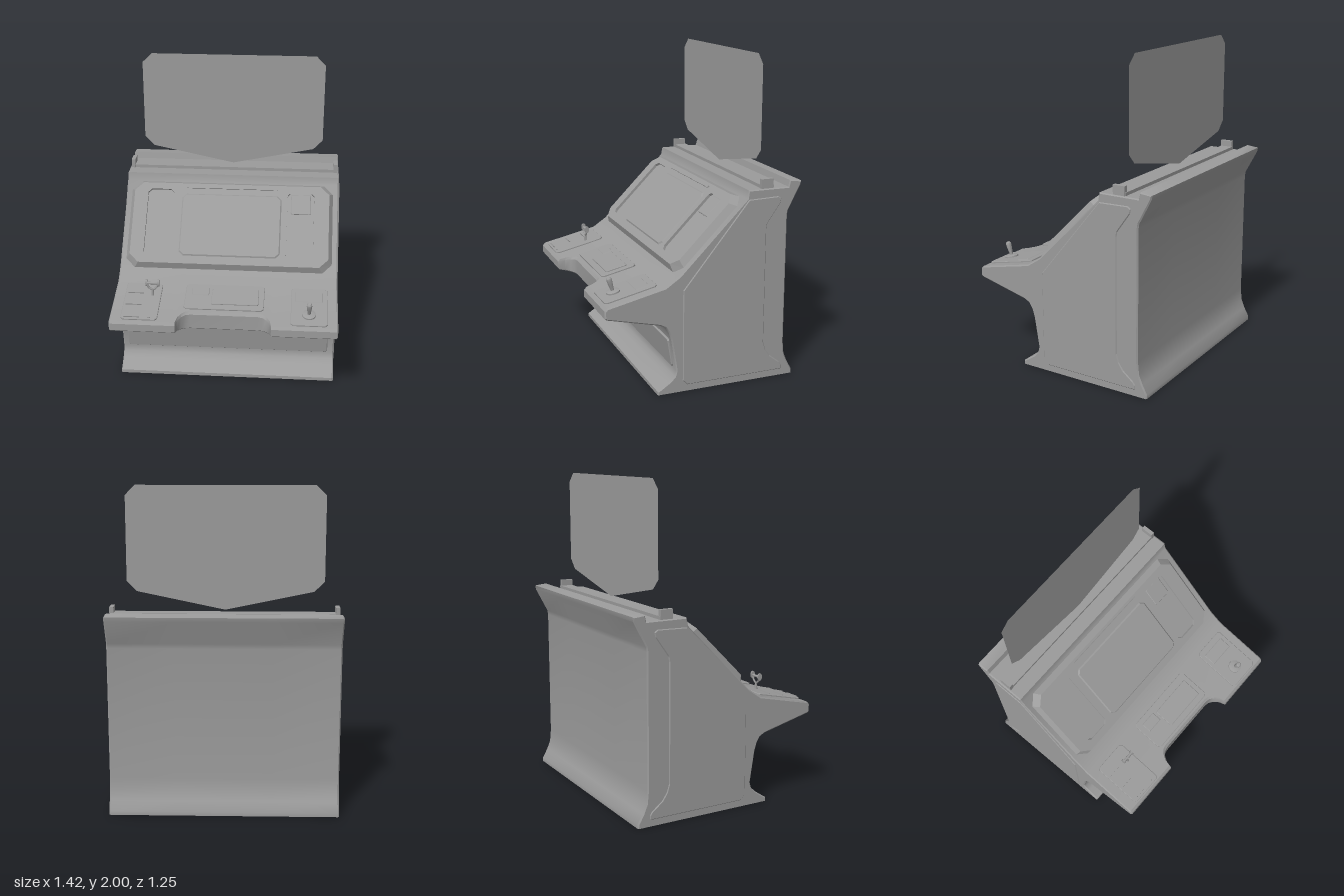
import * as THREE from 'three';
import { toCreasedNormals } from 'three/addons/utils/BufferGeometryUtils.js';

const material = new THREE.MeshStandardMaterial({ color: 0x9b9b9b, side: THREE.DoubleSide });

function add(parent, name, geometry, x = 0, y = 0, z = 0) {
  const mesh = new THREE.Mesh(geometry, material);
  mesh.name = name;
  mesh.position.set(x, y, z);
  parent.add(mesh);
  return mesh;
}

function box(parent, name, x0, x1, y0, y1, z0, z1) {
  return add(parent, name, new THREE.BoxGeometry(x1 - x0, y1 - y0, z1 - z0),
    (x0 + x1) / 2, (y0 + y1) / 2, (z0 + z1) / 2);
}

const polygon = (points) => new THREE.Shape(points.map(([a, b]) => new THREE.Vector2(a, b)));

// Rectangle with cut corners
const cutRect = (x0, x1, y0, y1, c) => polygon([
  [x0 + c, y0], [x1 - c, y0], [x1, y0 + c], [x1, y1 - c],
  [x1 - c, y1], [x0 + c, y1], [x0, y1 - c], [x0, y0 + c]]);

// Plate standing out of z = 0, with a bevelled front rim
function plate(shape, height, bevel) {
  const g = new THREE.ExtrudeGeometry(shape, {
    depth: height, bevelSize: bevel, bevelThickness: bevel, bevelOffset: -bevel, bevelSegments: 1 });
  return g.translate(0, 0, -bevel);
}

// Cabinet section as [z, y], from the front foot over the top to the back foot
function section(tip) {
  const under = (z) => 0.443 + (z - 0.285) * 0.243;
  const top = (z) => 0.675 - (z - 0.25) * 0.222;
  return [
    [0.30, 0], [0.30, 0.022], [0.22, 0.075], [0.19, 0.105], [0.18, 0.14],
    [0.212, 0.34], [0.228, 0.39], [0.25, 0.425], [0.285, 0.443],
    [tip - 0.01, under(tip - 0.01)], [tip, under(tip) + 0.006],
    [tip, top(tip) - 0.014], [tip - 0.015, top(tip - 0.015)],
    [0.25, 0.675], [0.16, 0.735], [-0.27, 1.165], [-0.28, 1.215],
    [-0.543, 1.215], [-0.553, 1.255], [-0.63, 1.247], [-0.625, 1.22],
    [-0.546, 1.07], [-0.541, 1.04], [-0.541, 0.22], [-0.549, 0.14],
    [-0.572, 0.085], [-0.605, 0.025], [-0.605, 0]];
}

// Section pulled inward by d, for the bevelled outer edges
function inset(points, d) {
  const n = points.length;
  return points.map(([z, y], i) => {
    const p = new THREE.Vector2(z, y);
    const a = p.clone().sub(new THREE.Vector2(...points[(i + n - 1) % n])).normalize();
    const b = new THREE.Vector2(...points[(i + 1) % n]).sub(p).normalize();
    const normal = new THREE.Vector2(-a.y - b.y, a.x + b.x).normalize();
    p.addScaledVector(normal, d);
    return [p.x, y === 0 ? 0 : p.y];
  });
}

function cabinet() {
  // Half of the stations across the width: [x, front edge of the console]
  const half = [[0.21, 0.52], [0.24, 0.527], [0.265, 0.547], [0.287, 0.582], [0.296, 0.625], [0.698, 0.625]];
  const rows = half.map(([x, tip]) => [x, section(tip)]);
  rows.push([0.706, inset(section(0.625), 0.008)]);
  const all = [...rows.map(([x, s]) => [-x, s]).reverse(), ...rows];
  const pos = [];
  for (let i = 0; i < all.length - 1; i++) {
    const [xa, sa] = all[i], [xb, sb] = all[i + 1];
    for (let j = 0; j < sa.length - 1; j++) {
      const v = ([z, y], x) => [x, y, z];
      const a = v(sa[j], xa), b = v(sb[j], xb), c = v(sb[j + 1], xb), d = v(sa[j + 1], xa);
      pos.push(...a, ...b, ...c, ...a, ...c, ...d);
    }
  }
  const g = new THREE.BufferGeometry();
  g.setAttribute('position', new THREE.Float32BufferAttribute(pos, 3));
  return toCreasedNormals(g, 0.6);
}

// Instrument slab: straight recesses, outer rim sloping inward
function slabGeometry() {
  const shape = cutRect(-0.67, 0.668, -0.303, 0.302, 0.06);
  shape.holes.push(cutRect(-0.555, -0.38, -0.232, 0.235, 0.025), cutRect(0.37, 0.545, -0.232, 0.235, 0.025));
  const g = new THREE.ExtrudeGeometry(shape, { depth: 0.043, bevelEnabled: false });
  const p = g.attributes.position;
  for (let i = 0; i < p.count; i++) {
    const x = p.getX(i), y = p.getY(i);
    const outer = Math.abs(x) > 0.57 || Math.abs(y) > 0.24;
    if (outer && p.getZ(i) > 0.02) p.setXY(i, x * 0.963, y * 0.92);
  }
  g.computeVertexNormals();
  return g;
}

export function createModel() {
  const model = new THREE.Group();
  model.name = 'controlConsole';
  add(model, 'cabinet', cabinet());

  // End walls and their raised side panels
  const wall = inset(section(0.625), 0.008);
  const sidePanel = [
    [0.11, 0.04], [0.14, 0.07], [0.14, 0.645], [-0.28, 1.16], [-0.475, 1.165], [-0.497, 1.15],
    [-0.49, 1.12], [-0.405, 1.0], [-0.40, 0.97], [-0.40, 0.24], [-0.415, 0.19],
    [-0.445, 0.145], [-0.515, 0.09], [-0.528, 0.07], [-0.528, 0.04]];
  for (const s of [1, -1]) {
    const flat = (pts) => polygon(pts.map(([z, y]) => [-s * z, y]));
    add(model, 'endWall', new THREE.ShapeGeometry(flat(wall)), s * 0.706).rotation.y = s * Math.PI / 2;
    add(model, 'sidePanel', plate(flat(sidePanel), 0.006, 0.006), s * 0.705).rotation.y = s * Math.PI / 2;
  }

  // Rim around the open underside
  const rim = cutRect(-0.7, 0.7, -0.605, 0.30, 0.001);
  rim.holes.push(cutRect(-0.68, 0.68, -0.585, 0.28, 0.001));
  add(model, 'bottomRim', new THREE.ShapeGeometry(rim), 0, 0.001).rotation.x = Math.PI / 2;

  // Kick panel on the lower front
  const kick = add(model, 'kickPanel', plate(cutRect(-0.668, 0.663, -0.092, 0.092, 0.012), 0.014, 0.005), 0, 0.245, 0.194);
  kick.rotation.x = 0.16;

  // Projector strip, its end blocks and the floating display
  box(model, 'projectorStrip', -0.69, 0.69, 1.21, 1.235, -0.45, -0.37);
  for (const s of [1, -1]) box(model, 'projectorEnd', s * 0.6825 - 0.0125, s * 0.6825 + 0.0125, 1.21, 1.273, -0.446, -0.367);
  add(model, 'floatingDisplay', new THREE.ShapeGeometry(polygon([
    [-0.005, 1.253], [0.53, 1.365], [0.59, 1.428], [0.59, 1.94], [0.53, 2],
    [-0.54, 2], [-0.602, 1.94], [-0.602, 1.428], [-0.54, 1.365]])), 0, 0, -0.41);

  // Sloping instrument board: local y runs up the slope, local z stands out of it
  const board = new THREE.Group();
  board.name = 'instrumentBoard';
  board.position.set(0, 0.945, -0.05);
  board.rotation.x = -Math.PI / 4;
  model.add(board);
  add(board, 'boardSlab', slabGeometry());
  for (const x of [-0.4675, 0.4575]) box(board, 'recessFloor', x - 0.09, x + 0.09, -0.235, 0.238, 0.005, 0.026);
  add(board, 'mainScreen', plate(cutRect(-0.33, 0.335, -0.23, 0.208, 0.03), 0.051, 0.012));
  box(board, 'statusBar', -0.295, 0.305, 0.244, 0.26, 0.03, 0.05);
  add(board, 'smallScreen', plate(cutRect(0.393, 0.522, 0.085, 0.222, 0.004), 0.033, 0.004));

  // Desk controls: local y runs to the back, local z stands out of the desk
  const desk = new THREE.Group();
  desk.name = 'deskControls';
  desk.position.set(0, 0.635, 0.43);
  desk.rotation.x = -Math.PI / 2 + 0.218;
  model.add(desk);
  const v = (z) => (0.43 - z) / 0.977;
  const deskPlate = (name, x0, x1, zBack, zFront, c, h) =>
    add(desk, name, plate(cutRect(x0, x1, v(zFront), v(zBack), c), h, 0.003));
  deskPlate('throttlePlate', -0.637, -0.408, 0.275, 0.602, 0.016, 0.01);
  deskPlate('keyboardPlate', -0.255, 0.245, 0.267, 0.49, 0.016, 0.01);
  deskPlate('joystickPlate', 0.414, 0.643, 0.275, 0.602, 0.016, 0.01);
  deskPlate('keyboardScreen', -0.215, -0.105, 0.302, 0.37, 0.002, 0.013);
  deskPlate('keyboard', -0.087, 0.21, 0.315, 0.45, 0.006, 0.018);
  deskPlate('joystickScreen', 0.44, 0.614, 0.315, 0.4, 0.002, 0.013);
  for (const z of [0.37, 0.475, 0.585]) box(desk, 'throttleSlit', -0.62, -0.52, v(z) - 0.003, v(z) + 0.003, 0.005, 0.017);
  box(desk, 'throttleMark', -0.468, -0.452, v(0.585) - 0.003, v(0.585) + 0.003, 0.005, 0.016);

  // Throttle: thin stem, forked neck, cross grip and oval ears
  const throttle = new THREE.Group();
  throttle.name = 'throttle';
  throttle.position.set(-0.462, 0.645, 0.383);
  model.add(throttle);
  add(throttle, 'throttleStem', new THREE.CylinderGeometry(0.007, 0.01, 0.06, 8), 0, 0.025);
  const fork = new THREE.CatmullRomCurve3([[-0.034, 0.09], [-0.026, 0.066], [0, 0.05], [0.026, 0.066], [0.034, 0.09]]
    .map(([x, y]) => new THREE.Vector3(x, y, 0)));
  add(throttle, 'throttleFork', new THREE.TubeGeometry(fork, 16, 0.006, 6));
  add(throttle, 'throttleGrip', new THREE.CylinderGeometry(0.008, 0.008, 0.07, 10), 0, 0.094).rotation.z = Math.PI / 2;
  for (const s of [1, -1]) {
    const ear = add(throttle, 'throttleEar', new THREE.CylinderGeometry(0.015, 0.015, 0.01, 16), s * 0.038, 0.095);
    ear.rotation.z = Math.PI / 2;
    ear.scale.x = 1.6;
  }

  // Joystick: flat round boot and a leaning grip
  const boot = [[0.043, 0], [0.042, 0.013], [0.034, 0.016], [0.018, 0.018], [0, 0.019]];
  const grip = [[0.01, 0], [0.011, 0.02], [0.014, 0.04], [0.017, 0.07], [0.016, 0.084], [0.009, 0.092], [0, 0.093]];
  const lathe = (pts) => toCreasedNormals(new THREE.LatheGeometry(pts.map(([r, y]) => new THREE.Vector2(r, y)), 20), 0.7);
  const stick = new THREE.Group();
  stick.name = 'joystick';
  stick.position.set(0.527, 0.622, 0.515);
  stick.rotation.x = 0.218;
  model.add(stick);
  add(stick, 'joystickBoot', lathe(boot));
  add(stick, 'joystickGrip', lathe(grip), 0, 0.012).rotation.x = 0.08;

  return model;
}
